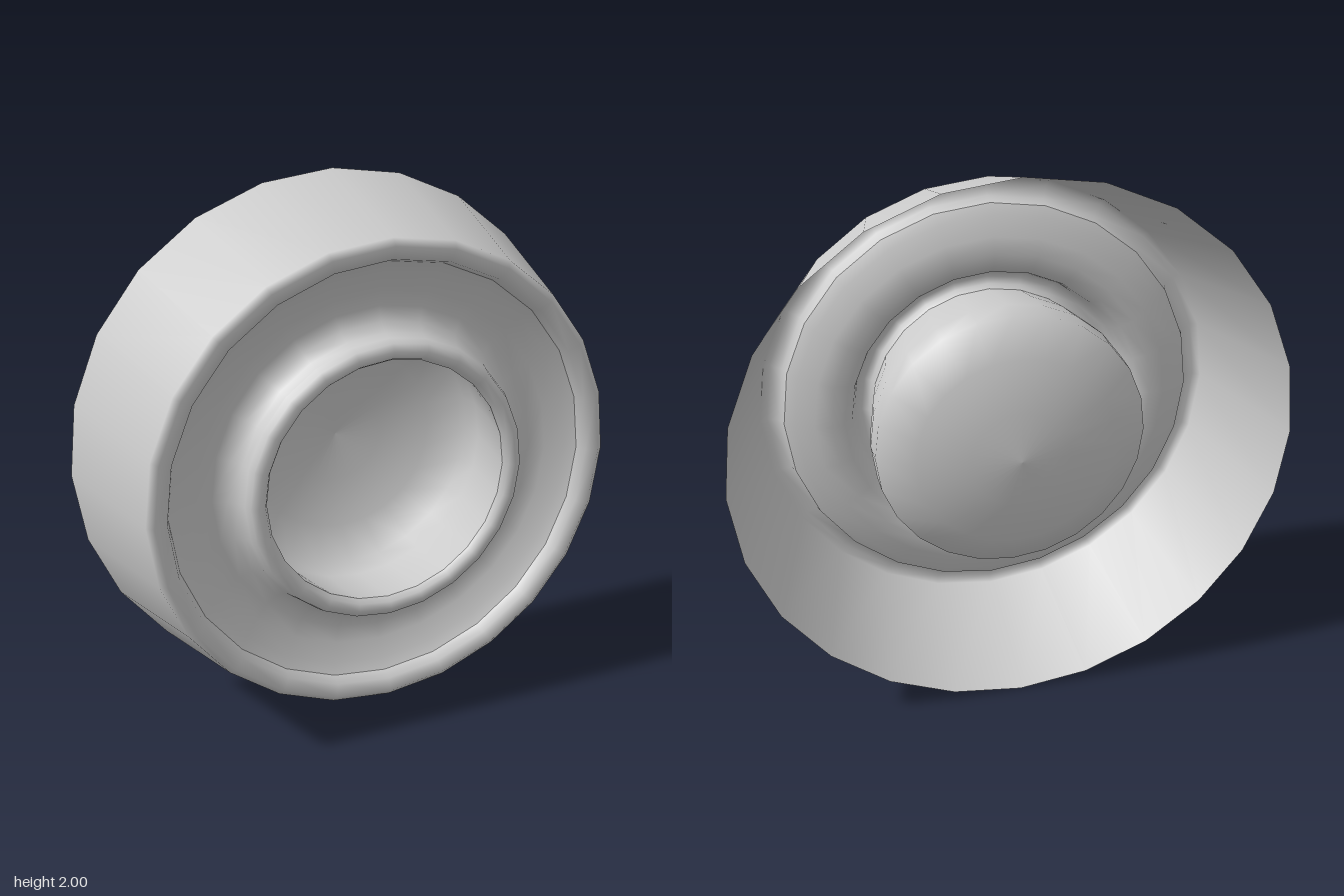
import * as THREE from 'three';

const SIDES = 24;

export function createModel() {
  const group = new THREE.Group();
  const material = new THREE.MeshStandardMaterial({ color: 0xcccccc, side: THREE.DoubleSide });

  // Turns a profile of [radius, z] points around the front-to-back axis
  function addTurned(name, profile) {
    const points = profile.map(([r, z]) => new THREE.Vector2(r, z));
    const geometry = new THREE.LatheGeometry(points, SIDES);
    geometry.rotateX(Math.PI / 2);
    const mesh = new THREE.Mesh(geometry, material);
    mesh.name = name;
    mesh.position.y = 1;
    group.add(mesh);
  }

  // Flared open shell, widest at the back, with a rounded front lip
  addTurned('outerWall', [[1, -0.267], [0.86, 0.248], [0.835, 0.267], [0.79, 0.252], [0.777, 0.21]]);

  // Shallow channel sloping in towards the ring
  addTurned('channel', [[0.777, 0.21], [0.74, 0.185], [0.67, 0.158], [0.61, 0.142], [0.56, 0.158], [0.53, 0.19], [0.52, 0.225]]);

  // Raised ring around the bowl
  addTurned('innerRing', [[0.52, 0.225], [0.51, 0.253], [0.485, 0.267], [0.46, 0.258], [0.448, 0.235]]);

  // Deep bowl with steep sides and a domed back
  addTurned('bowl', [[0.448, 0.235], [0.475, 0.1], [0.493, -0.03], [0.49, -0.125], [0.36, -0.2], [0.18, -0.248], [0, -0.265]]);

  return group;
}
